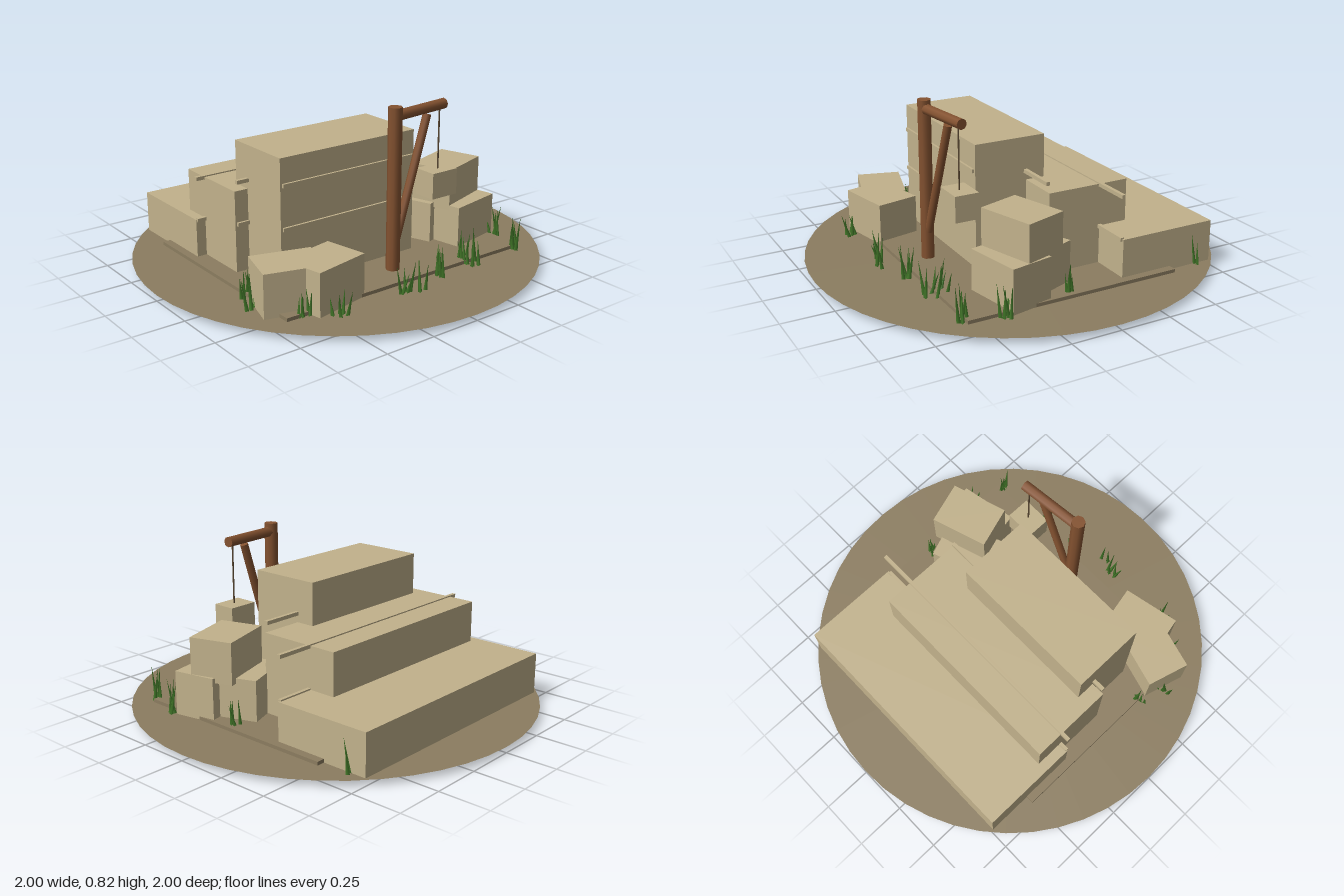
import * as THREE from 'three';

const mat = (name, color, side = THREE.FrontSide) => {
  const m = new THREE.MeshStandardMaterial({ color, side });
  m.name = name;
  return m;
};

export function createModel() {
  const root = new THREE.Group();
  root.name = 'steppedRuin';
  const stone = mat('sandstone', 0xc2b28c);
  const earth = mat('earth', 0x8c7d60, THREE.DoubleSide);
  const wood = mat('wood', 0x845230);
  const rope = mat('rope', 0x5c4a34);
  const grass = mat('grass', 0x47802c, THREE.DoubleSide);

  const add = (name, geometry, material, parent = root) => {
    const mesh = new THREE.Mesh(geometry, material);
    mesh.name = name;
    parent.add(mesh);
    return mesh;
  };
  // box given by its limits on each axis
  const block = (name, x0, x1, y0, y1, z0, z1, material = stone) => {
    const m = add(name, new THREE.BoxGeometry(x1 - x0, y1 - y0, z1 - z0), material);
    m.position.set((x0 + x1) / 2, (y0 + y1) / 2, (z0 + z1) / 2);
    return m;
  };
  // round beam between two points
  const beam = (name, a, b, radius, sides, material) => {
    const p = new THREE.Vector3(...a), q = new THREE.Vector3(...b);
    const dir = q.clone().sub(p);
    const m = add(name, new THREE.CylinderGeometry(radius, radius, dir.length(), sides), material);
    m.position.copy(p).add(q).multiplyScalar(0.5);
    m.quaternion.setFromUnitVectors(new THREE.Vector3(0, 1, 0), dir.normalize());
    return m;
  };

  // ground: thin disc with a square slab through it
  const disc = add('groundDisc', new THREE.CircleGeometry(1, 48), earth);
  disc.rotation.x = -Math.PI / 2;
  disc.position.y = 0.028;
  block('foundationSlab', -0.69, 0.69, 0, 0.045, -0.51, 0.57, earth);

  // three stepped tiers
  block('lowerTier', -0.65, 0.65, 0.022, 0.232, -0.74, -0.24);
  block('middleTier', -0.6, 0.45, 0.022, 0.44, -0.385, 0.033);
  block('upperTier', -0.53, 0.235, 0.022, 0.65, -0.063, 0.298);

  // two thin course ledges per tier: [x0, x1, y, z]
  [
    [-0.645, 0.64, 0.23, -0.24], [-0.645, 0.64, 0.437, -0.24],
    [-0.592, 0.442, 0.28, 0.036], [-0.592, 0.442, 0.484, 0.036],
    [-0.52, 0.225, 0.318, 0.3], [-0.52, 0.225, 0.523, 0.3],
  ].forEach(([x0, x1, y, z]) =>
    block('courseLedge', x0, x1, y - 0.009, y + 0.009, z - 0.009, z + 0.009));

  // loose cut stones: [x, bottom, top, z, turn in degrees]
  [
    [-0.587, 0.025, 0.235, 0.43, -16],
    [-0.437, 0.025, 0.235, 0.49, 11.5],
    [0.462, 0.025, 0.245, 0.139, 20.3],
    [0.552, 0.03, 0.245, 0.288, 11],
    [0.524, 0.22, 0.425, 0.218, 17.5],
  ].forEach(([x, y0, y1, z, turn]) => {
    const m = block('looseStone', x - 0.145, x + 0.145, y0, y1, z - 0.108, z + 0.108);
    m.rotation.y = THREE.MathUtils.degToRad(turn);
  });

  // wooden hoist with a stone hanging from it
  beam('hoistPost', [0, 0.025, 0.437], [0, 0.825, 0.437], 0.033, 8, wood);
  beam('hoistArm', [0, 0.782, 0.437], [0.322, 0.785, 0.405], 0.026, 8, wood);
  beam('hoistBrace', [0.01, 0.17, 0.437], [0.208, 0.755, 0.417], 0.02, 8, wood);
  beam('hoistRope', [0.293, 0.46, 0.408], [0.293, 0.78, 0.408], 0.004, 6, rope);
  block('hangingStone', 0.215, 0.365, 0.348, 0.474, 0.346, 0.464);

  // grass tufts: [x, z, tallest blade]
  let seed = 7;
  const rand = () => (seed = (seed * 16807) % 2147483647) / 2147483647;
  const blade = new THREE.ConeGeometry(0.011, 1, 3);
  blade.translate(0, 0.5, 0);
  [
    [-0.69, 0.24, 0.15], [-0.74, 0.39, 0.19], [-0.6, 0.57, 0.14], [-0.47, 0.65, 0.14],
    [-0.1, 0.63, 0.17], [-0.03, 0.67, 0.18], [0.14, 0.61, 0.18], [0.37, 0.6, 0.19],
    [0.36, 0.545, 0.17], [0.66, 0.58, 0.18], [0.71, 0.4, 0.18], [0.63, 0.05, 0.17],
    [0.665, -0.64, 0.19],
  ].forEach(([x, z, height], t) => {
    const tuft = new THREE.Group();
    tuft.name = 'grassTuft';
    tuft.position.set(x, 0.025, z);
    root.add(tuft);
    const count = t === 5 || t === 12 ? 2 : 5;
    for (let i = 0; i < count; i++) {
      const m = add('grassBlade', blade, grass, tuft);
      m.position.set((rand() - 0.5) * 0.06, 0, (rand() - 0.5) * 0.05);
      m.scale.y = height * (0.6 + 0.4 * rand());
      m.rotation.set((rand() - 0.5) * 0.4, rand() * 6.28, (rand() - 0.5) * 0.5);
    }
  });

  return root;
}
